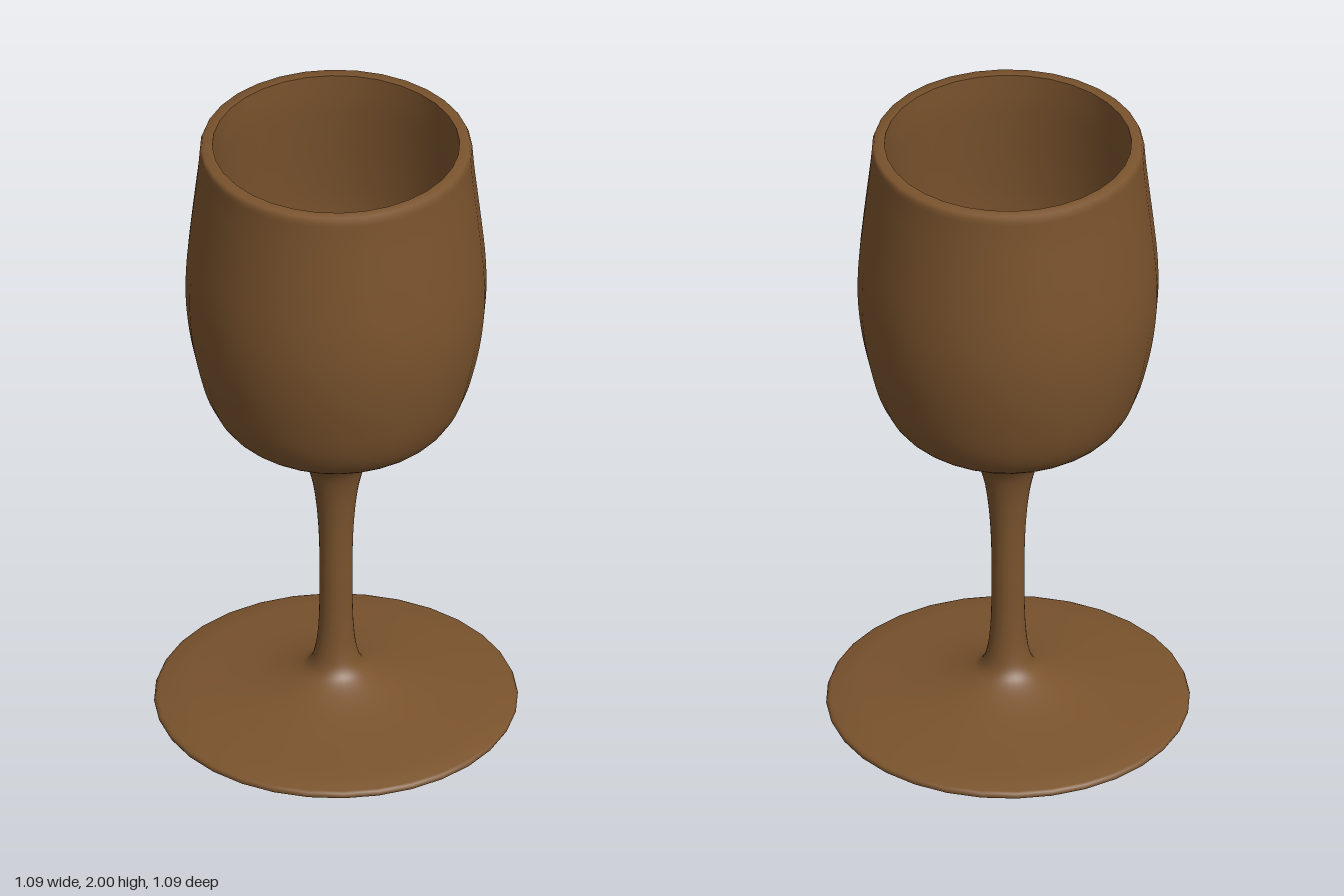
import * as THREE from 'three';

const SIDES = 32;
const wood = new THREE.MeshStandardMaterial({ color: 0x7a532d });

const points = (list) => list.map(([r, y]) => new THREE.Vector2(r, y));

// Smooth profile running through the given [radius, height] points
const curved = (list, steps) =>
  new THREE.SplineCurve(points(list)).getPoints(steps).map((p) => p.setX(Math.max(p.x, 0)));

function turned(name, profile) {
  const mesh = new THREE.Mesh(new THREE.LatheGeometry(profile, SIDES), wood);
  mesh.name = name;
  return mesh;
}

export function createModel() {
  const goblet = new THREE.Group();
  goblet.name = 'goblet';

  // Flat underside of the foot
  goblet.add(turned('footUnderside', points([[0, 0], [0.543, 0]])));

  // Thin-edged foot flaring up into the lower half of the stem
  goblet.add(turned('footAndLowerStem', [
    ...points([[0.543, 0], [0.547, 0.007]]),
    ...curved([
      [0.543, 0.016], [0.48, 0.032], [0.4, 0.044], [0.3, 0.059], [0.2, 0.08],
      [0.12, 0.108], [0.08, 0.138], [0.062, 0.19], [0.053, 0.27], [0.05, 0.36], [0.05, 0.45],
    ], 44),
  ]));

  // Upper stem widening into the bowl, rounding over onto the rim
  goblet.add(turned('upperStemAndBowl', [
    ...curved([
      [0.05, 0.45], [0.05, 0.53], [0.053, 0.62], [0.06, 0.71], [0.072, 0.79],
      [0.094, 0.86], [0.14, 0.918], [0.215, 0.963], [0.295, 1.005], [0.352, 1.054],
      [0.392, 1.13], [0.42, 1.23], [0.441, 1.34], [0.452, 1.46], [0.45, 1.58],
      [0.439, 1.7], [0.427, 1.81], [0.416, 1.91], [0.41, 1.985],
    ], 72),
    ...points([[0.404, 2], [0.372, 2]]),
  ]));

  // Hollow inside, running from the rim down to the rounded floor
  goblet.add(turned('bowlInside', curved([
    [0.372, 2], [0.374, 1.9], [0.384, 1.78], [0.396, 1.65], [0.404, 1.52],
    [0.4, 1.4], [0.384, 1.28], [0.352, 1.18], [0.295, 1.1], [0.21, 1.048],
    [0.11, 1.024], [0, 1.016],
  ], 44)));

  return goblet;
}
